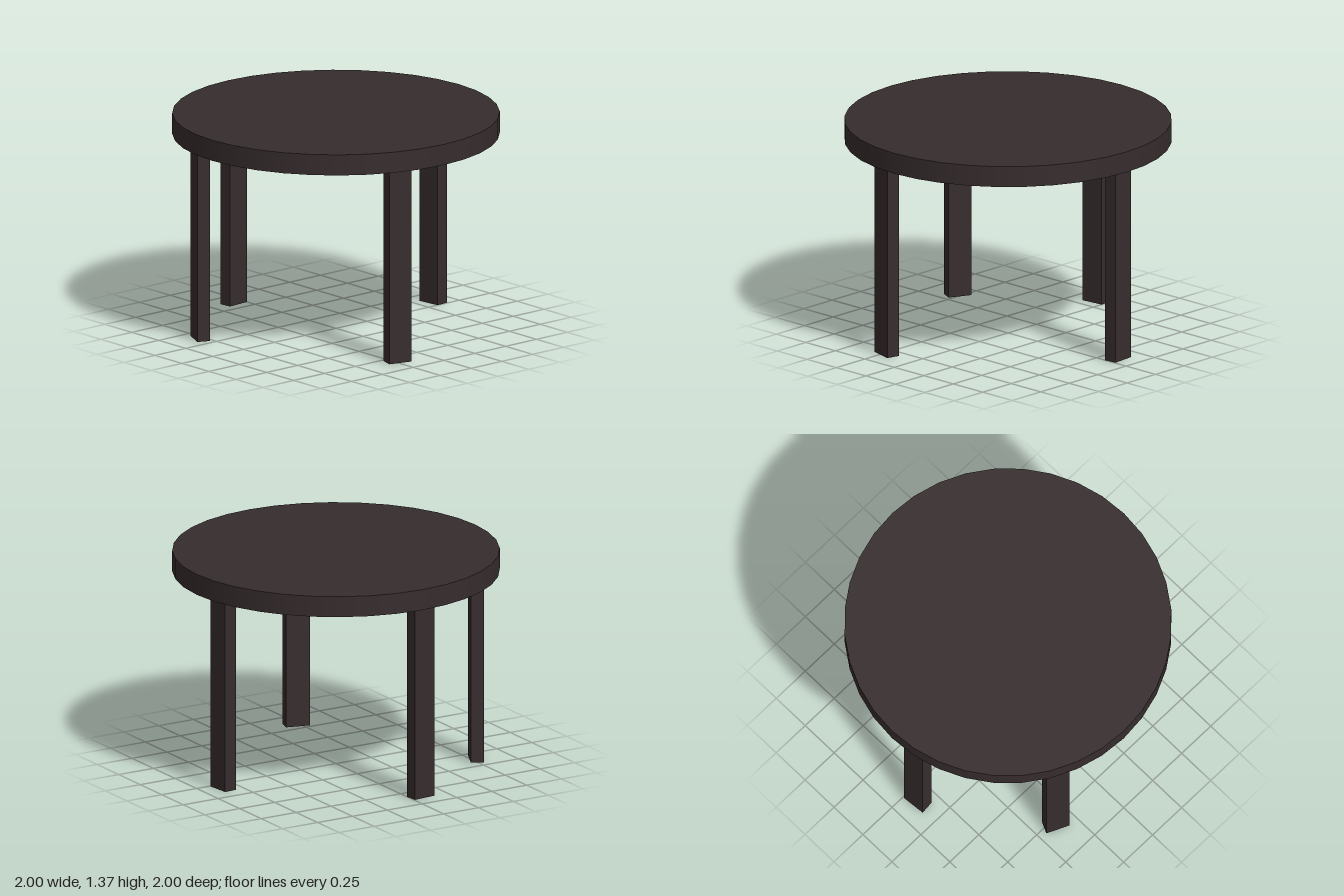
import * as THREE from 'three';

export function createModel() {
  const table = new THREE.Group();
  table.name = 'roundTable';

  const darkWood = new THREE.MeshStandardMaterial({ color: 0x362c2d });
  darkWood.name = 'dark wood';

  const legHeight = 1.235, topThickness = 0.13;

  // Round top with 36 smooth sides
  const top = new THREE.Mesh(new THREE.CylinderGeometry(1, 1, topThickness, 36), darkWood);
  top.name = 'tableTop';
  top.position.y = legHeight + topThickness / 2;
  table.add(top);

  // Four flat legs, unevenly spaced, each with its broad side facing outwards
  const legGeometry = new THREE.BoxGeometry(0.082, legHeight, 0.15);
  const legRadius = 0.861;
  const legAngles = { leftLeg: 15.3, frontLeg: 115.2, rightLeg: 174.8, backLeg: 264.8 };
  for (const [name, degrees] of Object.entries(legAngles)) {
    const angle = THREE.MathUtils.degToRad(degrees);
    const leg = new THREE.Mesh(legGeometry, darkWood);
    leg.name = name;
    leg.position.set(legRadius * Math.cos(angle), legHeight / 2, legRadius * Math.sin(angle));
    leg.rotation.y = -angle;
    table.add(leg);
  }

  return table;
}
